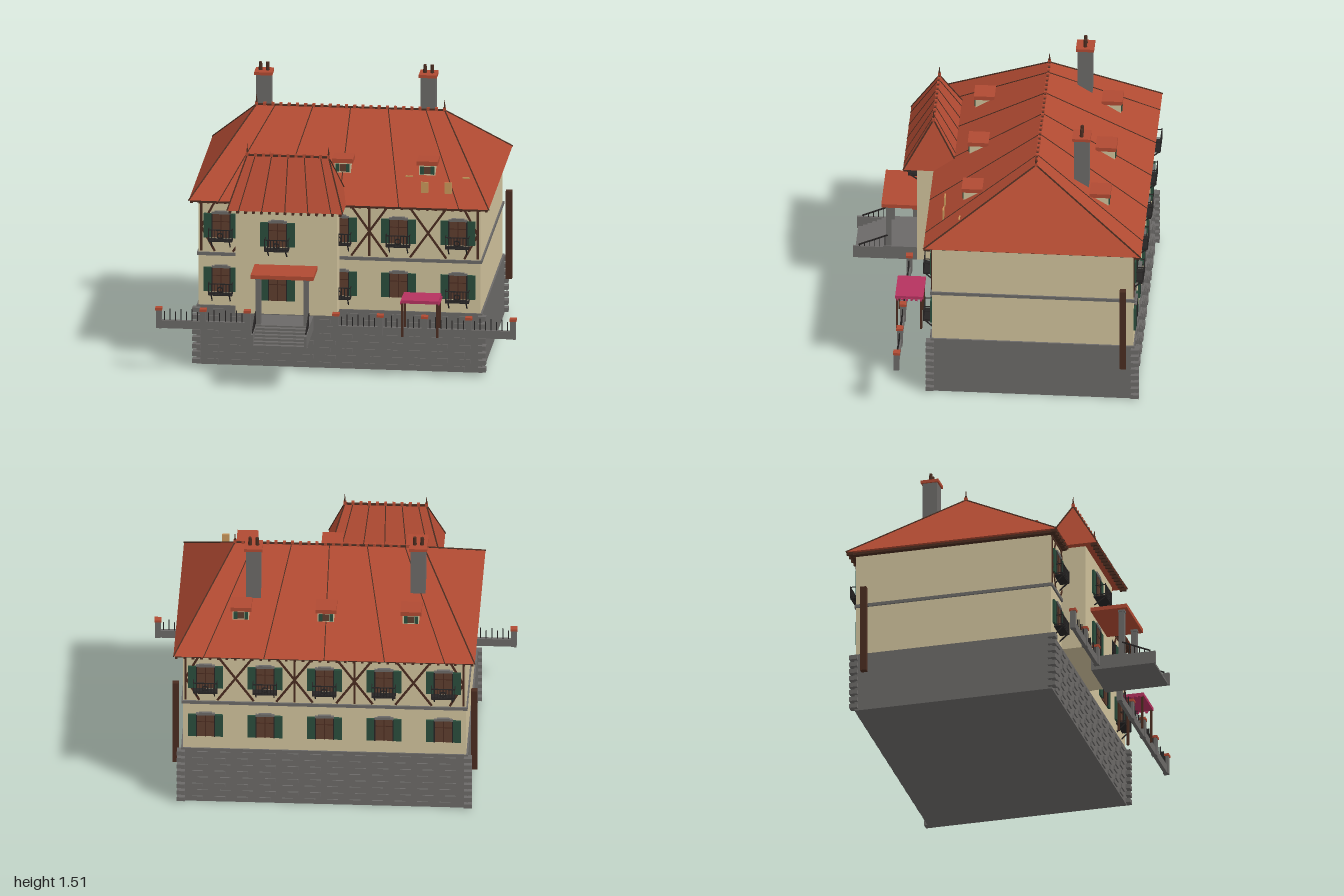
import * as THREE from 'three';

const mat = (name, color) => Object.assign(new THREE.MeshStandardMaterial({ color }), { name });
const M = {
  roof: mat('roof red', 0xb04a32), wall: mat('cream plaster', 0xcfc19b), stone: mat('stone grey', 0x6b6967),
  timber: mat('dark timber', 0x4a2c20), pane: mat('window brown', 0x5e3d2e), shutter: mat('shutter green', 0x2a4d3c),
  iron: mat('black iron', 0x262424), awning: mat('awning magenta', 0xb5325f), vent: mat('ochre', 0xc8965a),
};
const unitBox = new THREE.BoxGeometry(1, 1, 1);

function group(name, parent) {
  const g = new THREE.Group();
  g.name = name;
  if (parent) parent.add(g);
  return g;
}

// Box given by its extents
function box(parent, name, m, x0, x1, y0, y1, z0, z1) {
  const b = new THREE.Mesh(unitBox, m);
  b.name = name;
  b.scale.set(x1 - x0, y1 - y0, z1 - z0);
  b.position.set((x0 + x1) / 2, (y0 + y1) / 2, (z0 + z1) / 2);
  parent.add(b);
  return b;
}

// Square bar between two points
function beam(parent, name, m, a, b, w, d = w) {
  const A = new THREE.Vector3(...a), B = new THREE.Vector3(...b);
  const s = new THREE.Mesh(unitBox, m);
  s.name = name;
  s.scale.set(w, A.distanceTo(B), d);
  s.position.copy(A).add(B).multiplyScalar(0.5);
  s.quaternion.setFromUnitVectors(new THREE.Vector3(0, 1, 0), B.sub(A).normalize());
  parent.add(s);
}

// Hipped roof about the local origin, with seams, ridge knobs, finials and rafter tails
function hipRoof(parent, name, w, d, y0, y1, r, backTails) {
  const g = group(name, parent);
  const bl = [-w, y0, -d], br = [w, y0, -d], fr = [w, y0, d], fl = [-w, y0, d], L = [-r, y1, 0], R = [r, y1, 0];
  const faces = [fl, fr, R, fl, R, L, br, bl, L, br, L, R, fr, br, R, bl, fl, L, bl, br, fr, bl, fr, fl];
  const geo = new THREE.BufferGeometry();
  geo.setAttribute('position', new THREE.Float32BufferAttribute(faces.flat(), 3));
  geo.computeVertexNormals();
  const tiles = new THREE.Mesh(geo, M.roof);
  tiles.name = 'roofSlopes';
  g.add(tiles);
  for (const s of [-1, 1]) {
    for (const t of [-0.8, -0.4, 0, 0.4, 0.8])
      beam(g, 'seam', M.timber, [w * t, y0, d * s], [r * t, y1, 0], 0.005);
    for (const q of [-1, 1]) beam(g, 'hipRib', M.timber, [w * q, y0, d * s], [r * q, y1, 0], 0.007);
    const spike = new THREE.Mesh(new THREE.ConeGeometry(0.008, 0.07, 6), M.timber);
    spike.name = 'finial';
    spike.position.set(r * s, y1 + 0.03, 0);
    g.add(spike);
    if (s > 0 || backTails) for (let i = 0, n = Math.round(2 * w / 0.047); i <= n; i++) {
      const x = -w + 0.015 + (2 * w - 0.03) * i / n;
      box(g, 'rafterTail', M.timber, x - 0.007, x + 0.007, y0 - 0.016, y0, s * d - s * 0.02 - 0.018, s * d - s * 0.02 + 0.018);
    }
  }
  beam(g, 'ridge', M.timber, L, R, 0.01);
  for (let i = 0, n = Math.round(2 * r / 0.045); i <= n; i++) {
    const x = -r + 2 * r * i / n;
    box(g, 'ridgeKnob', M.roof, x - 0.008, x + 0.008, y1 - 0.005, y1 + 0.014, -0.008, 0.008);
  }
  return g;
}

// Iron balcony: floor, railings, centre rosette and slanted brackets
function balcony(parent, depth, brackets) {
  const g = group('balcony', parent), w = 0.065, y0 = -0.08, y1 = -0.015;
  box(g, 'balconyFloor', M.iron, -w, w, y0 - 0.003, y0 + 0.003, 0, depth);
  for (const y of [y1, y0 + 0.01]) {
    beam(g, 'frontRail', M.iron, [-w, y, depth], [w, y, depth], 0.005);
    for (const s of [-w, w]) beam(g, 'sideRail', M.iron, [s, y, 0], [s, y, depth], 0.004);
  }
  for (let i = 0; i <= 8; i++) {
    const x = -w + w * i / 4;
    beam(g, 'baluster', M.iron, [x, y0, depth], [x, y1 + (i % 8 ? 0 : 0.008), depth], 0.004);
  }
  const rosette = new THREE.Mesh(new THREE.TorusGeometry(0.015, 0.004, 5, 12), M.iron);
  rosette.name = 'rosette';
  rosette.position.set(0, (y0 + y1) / 2, depth);
  g.add(rosette);
  if (brackets) for (const s of [-0.05, 0.05]) beam(g, 'bracket', M.iron, [s, y0 - 0.045, 0], [s, y0, depth], 0.006);
}

// Shuttered window, centred on its own origin
function windowAt(parent, x, y, z, depth = 0, brackets = true) {
  const g = group('window', parent);
  g.position.set(x, y, z);
  box(g, 'pane', M.pane, -0.052, 0.052, -0.072, 0.072, -0.005, 0.006);
  box(g, 'lintel', M.stone, -0.052, 0.052, 0.066, 0.077, -0.005, 0.014);
  box(g, 'keystone', M.stone, -0.035, 0.035, 0.077, 0.083, -0.005, 0.014);
  box(g, 'mullion', M.timber, -0.003, 0.003, -0.072, 0.066, 0, 0.009);
  box(g, 'transom', M.timber, -0.052, 0.052, 0.02, 0.025, 0, 0.009);
  for (const s of [-1, 1]) {
    box(g, 'shutter', M.shutter, s * 0.072 - 0.024, s * 0.072 + 0.024, -0.07, 0.068, -0.003, 0.012);
    box(g, 'hinge', M.iron, s * 0.05 - 0.003, s * 0.05 + 0.003, -0.07, 0.068, 0, 0.014);
  }
  if (depth) balcony(g, depth, brackets);
}

function dormer(parent, x) {
  const g = group('dormer', parent);
  g.position.x = x;
  box(g, 'dormerWalls', M.wall, -0.045, 0.045, 1.05, 1.136, 0.25, 0.4);
  box(g, 'dormerCap', M.roof, -0.058, 0.058, 1.134, 1.158, 0.295, 0.41);
  box(g, 'dormerPane', M.pane, -0.018, 0.018, 1.085, 1.125, 0.4, 0.404);
  for (const s of [-1, 1]) box(g, 'dormerShutter', M.shutter, s * 0.029 - 0.01, s * 0.029 + 0.01, 1.083, 1.127, 0.4, 0.407);
}

// Long side of the house, facing +z around the house centre
function facade(parent, name, front) {
  const g = group(name, parent), z = 0.555;
  for (const x of [-0.655, -0.327, 0, 0.327, 0.655]) {
    if (front && x === -0.327) continue;
    windowAt(g, x, 0.8, z, 0.05);
    windowAt(g, x, 0.49, z, front && x !== 0.327 ? 0.05 : 0);
  }
  // Half-timbering
  const bar = (x0, y0, x1, y1) => beam(g, 'timber', M.timber, [x0, y0, z], [x1, y1, z], 0.012, 0.01);
  for (const x of [-0.49, -0.165, 0.165, 0.49]) {
    bar(x - 0.1, 0.65, x + 0.1, 0.935);
    bar(x + 0.1, 0.65, x - 0.1, 0.935);
    if (Math.abs(x) < 0.2) bar(x, 0.65, x, 0.935);
  }
  for (const s of [-1, 1]) {
    bar(s * 0.765, 0.65, s * 0.765, 0.935);
    bar(s * 0.765, 0.79, s * 0.69, 0.935);
    bar(s * 0.765, 0.79, s * 0.69, 0.65);
  }
  bar(-0.78, 0.932, 0.78, 0.932);
  // Raised stones in the foundation, staggered by row
  for (let r = 0; r < 8; r++) for (let i = 0; i < 12; i++) {
    const x = -0.7 + i * 0.124 + (r % 2) * 0.03;
    box(g, 'raisedStone', M.stone, x - 0.03, x + 0.03, 0.012 + r * 0.041, 0.034 + r * 0.041, 0.55, 0.57);
  }
  for (const x of [-0.468, 0, 0.468]) dormer(g, x);
  return g;
}

function chimney(parent, x, z) {
  const g = group('chimney', parent);
  g.position.set(x, 0, z);
  box(g, 'shaft', M.stone, -0.041, 0.041, 1.05, 1.45, -0.041, 0.041);
  box(g, 'chimneyCap', M.roof, -0.05, 0.05, 1.45, 1.467, -0.05, 0.05);
  for (const s of [-0.02, 0.02]) {
    const pot = new THREE.Mesh(new THREE.CylinderGeometry(0.009, 0.011, 0.05, 8), M.timber);
    pot.name = 'chimneyPot';
    pot.position.set(s, 1.488, 0);
    g.add(pot);
  }
}

export function createModel() {
  const model = group('house');
  const main = group('mainBlock', model);
  main.position.z = -0.23;
  box(main, 'foundation', M.stone, -0.79, 0.79, 0, 0.34, -0.562, 0.562);
  box(main, 'mainWalls', M.wall, -0.78, 0.78, 0.34, 0.95, -0.555, 0.555);
  box(main, 'stringCourse', M.stone, -0.788, 0.788, 0.626, 0.644, -0.564, 0.564);
  box(main, 'eaveBoard', M.timber, -0.81, 0.81, 0.936, 0.95, -0.585, 0.585);
  hipRoof(main, 'mainRoof', 0.83, 0.6, 0.95, 1.33, 0.52, true);
  facade(main, 'frontFacade', true);
  facade(main, 'backFacade', false).rotation.y = Math.PI;
  for (const sx of [-1, 1]) {
    // Corner stones and downpipes
    for (const sz of [-1, 1]) for (let i = 0; i < 8; i++) {
      const x = sx * 0.79, z = sz * 0.565, y = 0.01 + i * 0.042;
      box(main, 'quoin', M.stone, x - 0.022, x + 0.022, y, y + 0.025, z - 0.022, z + 0.022);
    }
    box(main, 'downpipe', M.timber, sx * 0.822 - 0.017, sx * 0.822 + 0.017, 0.22, 0.725, -0.518, -0.483);
  }
  chimney(model, -0.5, -0.43);
  chimney(model, 0.405, -0.475);

  // Small ochre vents on the front slope
  for (const [x, y, z] of [[0.37, 1.075, 0.18], [0.685, 1.075, 0.18], [0.465, 1.07, 0.275], [0.595, 1.07, 0.275]])
    box(model, 'roofVent', M.vent, x - 0.02, x + 0.02, 1.0, y, z - 0.004, z + 0.004);

  // Projecting bay
  const bay = group('bay', model);
  box(bay, 'bayWalls', M.wall, -0.56, 0, 0.34, 0.95, 0.3, 0.462);
  hipRoof(bay, 'bayRoof', 0.32, 0.162, 0.95, 1.225, 0.225, false).position.set(-0.28, 0, 0.376);
  windowAt(bay, -0.327, 0.8, 0.462, 0.068);
  windowAt(bay, -0.327, 0.49, 0.462);

  // Porch with columns, flat canopy and steps
  const porch = group('porch', model);
  box(porch, 'porchCanopy', M.roof, -0.455, -0.107, 0.602, 0.624, 0.46, 0.668);
  box(porch, 'porchFloor', M.stone, -0.435, -0.13, 0.255, 0.335, 0.46, 0.66);
  for (let i = 0; i < 6; i++)
    box(porch, 'step', M.stone, -0.425, -0.14, 0.255, 0.327 - i * 0.012, 0.66, 0.688 + i * 0.026);
  for (const x of [-0.415, -0.15]) {
    box(porch, 'column', M.stone, x - 0.014, x + 0.014, 0.33, 0.604, 0.615, 0.645);
    box(porch, 'columnHead', M.stone, x - 0.018, x + 0.018, 0.59, 0.602, 0.611, 0.649);
  }
  for (const x of [-0.43, -0.135]) {
    box(porch, 'stepCheek', M.stone, x - 0.006, x + 0.006, 0.255, 0.328, 0.65, 0.825);
    beam(porch, 'handrail', M.iron, [x, 0.405, 0.635], [x, 0.335, 0.795], 0.007);
    for (let i = 0; i < 6; i++) {
      const z = 0.65 + i * 0.028;
      beam(porch, 'handrailBar', M.iron, [x, 0.325, z], [x, 0.405 - (z - 0.635) * 0.437, z], 0.004);
    }
  }

  // Garden wall with pillars and spikes, open at the porch
  const fence = group('fence', model), fz = 0.505;
  for (let i = 0; i <= 8; i++) {
    const x = -0.98 + i * 0.245;
    if (i !== 3) {
      box(fence, 'pillar', M.stone, x - 0.015, x + 0.015, 0.255, 0.36, fz - 0.015, fz + 0.015);
      box(fence, 'pillarCap', M.roof, x - 0.019, x + 0.019, 0.358, 0.372, fz - 0.019, fz + 0.019);
    }
    if (i === 2 || i === 3 || i === 8) continue;
    box(fence, 'lowWall', M.stone, x, x + 0.245, 0.255, 0.3, fz - 0.01, fz + 0.01);
    for (let k = 1; k < 8; k++) {
      const px = x + k * 0.0306;
      beam(fence, 'spike', M.iron, [px, 0.3, fz], [px, k % 2 ? 0.35 : 0.365, fz], 0.005);
    }
  }

  // Magenta awning on four posts with a fringe
  const awning = group('awning', model);
  box(awning, 'awningTop', M.awning, 0.363, 0.57, 0.45, 0.468, 0.388, 0.543);
  for (const x of [0.37, 0.563]) for (const z of [0.4, 0.533])
    box(awning, 'awningPost', M.timber, x - 0.006, x + 0.006, 0.257, 0.452, z - 0.006, z + 0.006);
  for (let i = 0; i < 6; i++) for (const x of [0.363, 0.57]) {
    const z = 0.4 + i * 0.026;
    box(awning, 'fringe', M.awning, x - 0.006, x + 0.006, 0.442, 0.454, z - 0.006, z + 0.006);
  }
  return model;
}
